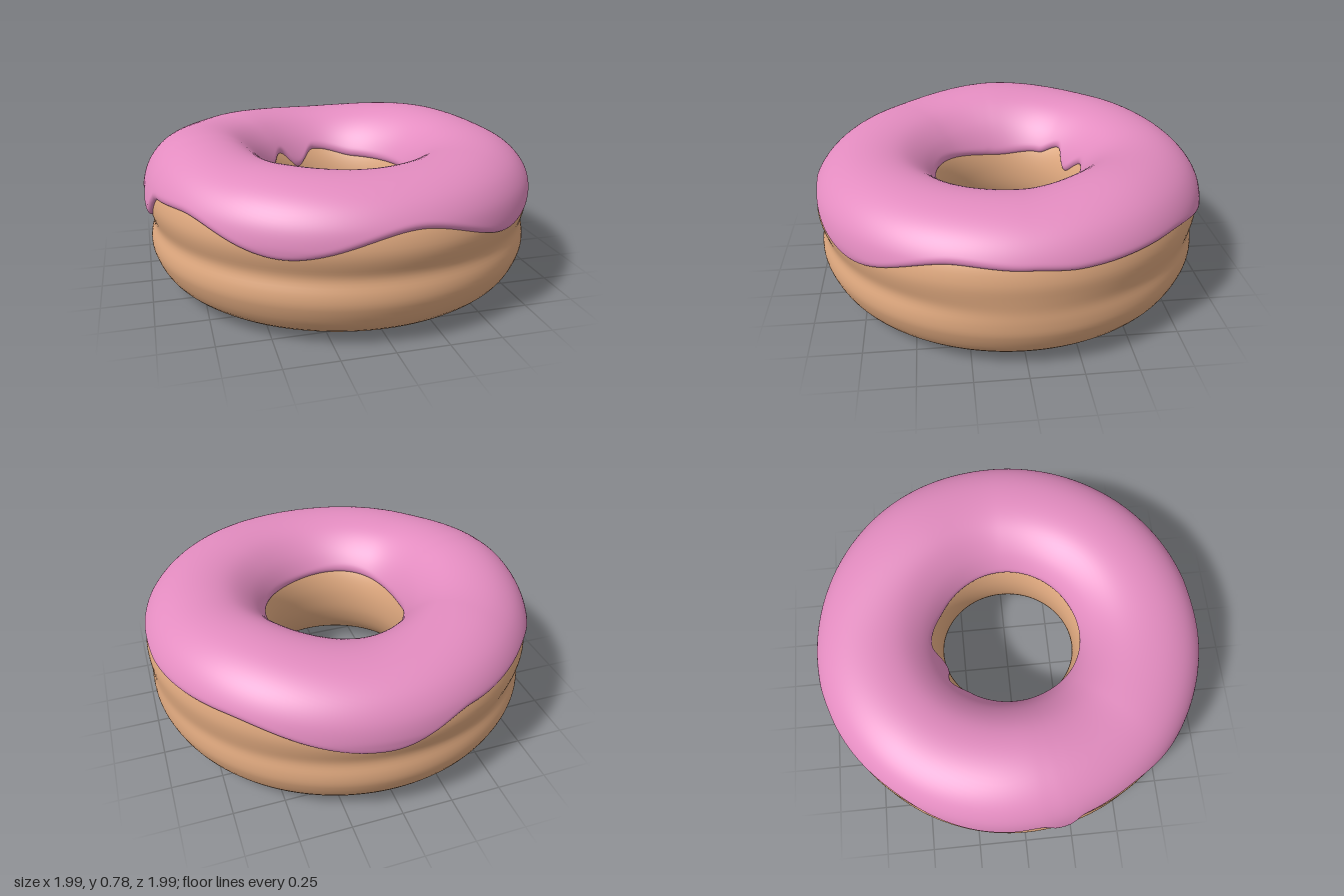
import * as THREE from 'three';

// Smooth periodic lookup through [degrees, value] pairs
function ring(table) {
  return (deg) => {
    const d = ((deg % 360) + 360) % 360;
    for (let i = 0; i < table.length; i++) {
      const [a, va] = table[i];
      const [b, vb] = i + 1 < table.length ? table[i + 1] : [table[0][0] + 360, table[0][1]];
      if (d >= a && d <= b) return va + (vb - va) * THREE.MathUtils.smoothstep(d, a, b);
    }
    return table[0][1];
  };
}

// Variation around the ring, angle measured from +x towards +z
const topHeight = ring([[0, 0.735], [45, 0.73], [90, 0.718], [135, 0.73], [180, 0.775], [225, 0.745], [270, 0.722], [322, 0.76]]);
const crease = ring([[0, 0.2], [40, 0.8], [90, 1], [180, 1], [270, 0.9], [320, 0.6]]);
const outerEdge = ring([[0, 0.545], [18, 0.56], [52, 0.43], [84, 0.545], [118, 0.43], [150, 0.545], [164, 0.535],
  [170, 0.43], [176, 0.51], [188, 0.46], [222, 0.545], [250, 0.52], [274, 0.41], [318, 0.54], [347, 0.53]]);
const innerEdge = ring([[0, 0.5], [60, 0.49], [120, 0.51], [180, 0.47], [215, 0.5], [232, 0.55], [248, 0.46], [265, 0.54], [300, 0.5]]);

// Cross-section of the dough as (radius, height): bottom, outer side, top, hole
const SECTION = [[0.68, 0], [0.8, 0.012], [0.92, 0.09], [0.975, 0.2], [0.983, 0.27], [0.983, 0.335], [0.984, 0.4],
  [0.985, 0.48], [0.96, 0.56], [0.9, 0.63], [0.8, 0.68], [0.67, 0.695], [0.55, 0.67], [0.45, 0.6], [0.385, 0.51],
  [0.355, 0.42], [0.35, 0.33], [0.365, 0.24], [0.41, 0.14], [0.48, 0.06], [0.58, 0.006]];
const N = SECTION.length;
const curve = new THREE.CatmullRomCurve3(SECTION.map(([r, y]) => new THREE.Vector3(r, y, 0)), true);

function doughPoint(u, deg) {
  const p = curve.getPoint(((u % 1) + 1) % 1);
  if (p.x > 0.67) p.x -= 0.023 * crease(deg) * Math.exp(-(((p.y - 0.34) / 0.06) ** 2));
  if (p.y > 0.35) p.y = 0.35 + (p.y - 0.35) * (topHeight(deg) - 0.03 - 0.35) / 0.345;
  p.y = Math.max(0, p.y);
  return p;
}

// Section parameter at which the dough reaches height y, between low end a and high end b
function findHeight(y, deg, a, b) {
  for (let k = 0; k < 18; k++) {
    const m = (a + b) / 2;
    if (doughPoint(m, deg).y < y) a = m; else b = m;
  }
  return a;
}

// Sweep section(j, deg) -> (radius, height) around the vertical axis
function sweep(around, across, closed, section) {
  const positions = [], indices = [];
  const cols = closed ? across : across + 1;
  for (let i = 0; i < around; i++) {
    const deg = (i / around) * 360, t = THREE.MathUtils.degToRad(deg);
    const at = section(deg);
    for (let j = 0; j < cols; j++) {
      const p = at(j / across);
      positions.push(p.x * Math.cos(t), p.y, p.x * Math.sin(t));
    }
    for (let j = 0; j < across; j++) {
      const i2 = (i + 1) % around, j2 = (j + 1) % cols;
      const a = i * cols + j, b = i * cols + j2, c = i2 * cols + j2, d = i2 * cols + j;
      indices.push(a, b, c, a, c, d);
    }
  }
  const g = new THREE.BufferGeometry();
  g.setAttribute('position', new THREE.Float32BufferAttribute(positions, 3));
  g.setIndex(indices);
  g.computeVertexNormals();
  return g;
}

function icingSection(deg) {
  const uOut = findHeight(outerEdge(deg), deg, 5.5 / N, 11 / N);
  const uIn = findHeight(innerEdge(deg), deg, 16 / N, 11 / N);
  const drip = Math.exp(-(((deg - 170) / 5) ** 2));
  return (v) => {
    // crowd samples towards both rims so they round over
    const s = 0.5 - 0.5 * Math.cos(Math.PI * v);
    const u = uOut + (uIn - uOut) * s;
    const p = doughPoint(u, deg);
    const n = doughPoint(u + 0.004, deg).sub(doughPoint(u - 0.004, deg)).normalize();
    n.set(n.y, -n.x, 0);
    const rim = Math.min(1, Math.min(s, 1 - s) / 0.05);
    const round = Math.sqrt(1 - (1 - rim) ** 2);
    const bulge = 0.008 * drip * Math.exp(-((s / 0.12) ** 2));
    const thick = 0.016 + 0.014 * Math.max(0, n.y) + bulge;
    return p.addScaledVector(n, -0.006 + (thick + 0.006) * round);
  };
}

export function createModel() {
  const group = new THREE.Group();
  group.name = 'donut';

  // Baked ring with a crease around its side
  const dough = new THREE.Mesh(
    sweep(144, 84, true, (deg) => (v) => doughPoint(v, deg)),
    new THREE.MeshStandardMaterial({ color: 0xe0a97f }));
  dough.name = 'dough';

  // Glaze with wavy, dripping rims
  const icing = new THREE.Mesh(
    sweep(240, 56, false, icingSection),
    new THREE.MeshStandardMaterial({ color: 0xe38cc0, side: THREE.DoubleSide }));
  icing.name = 'icing';

  group.add(dough, icing);
  return group;
}
